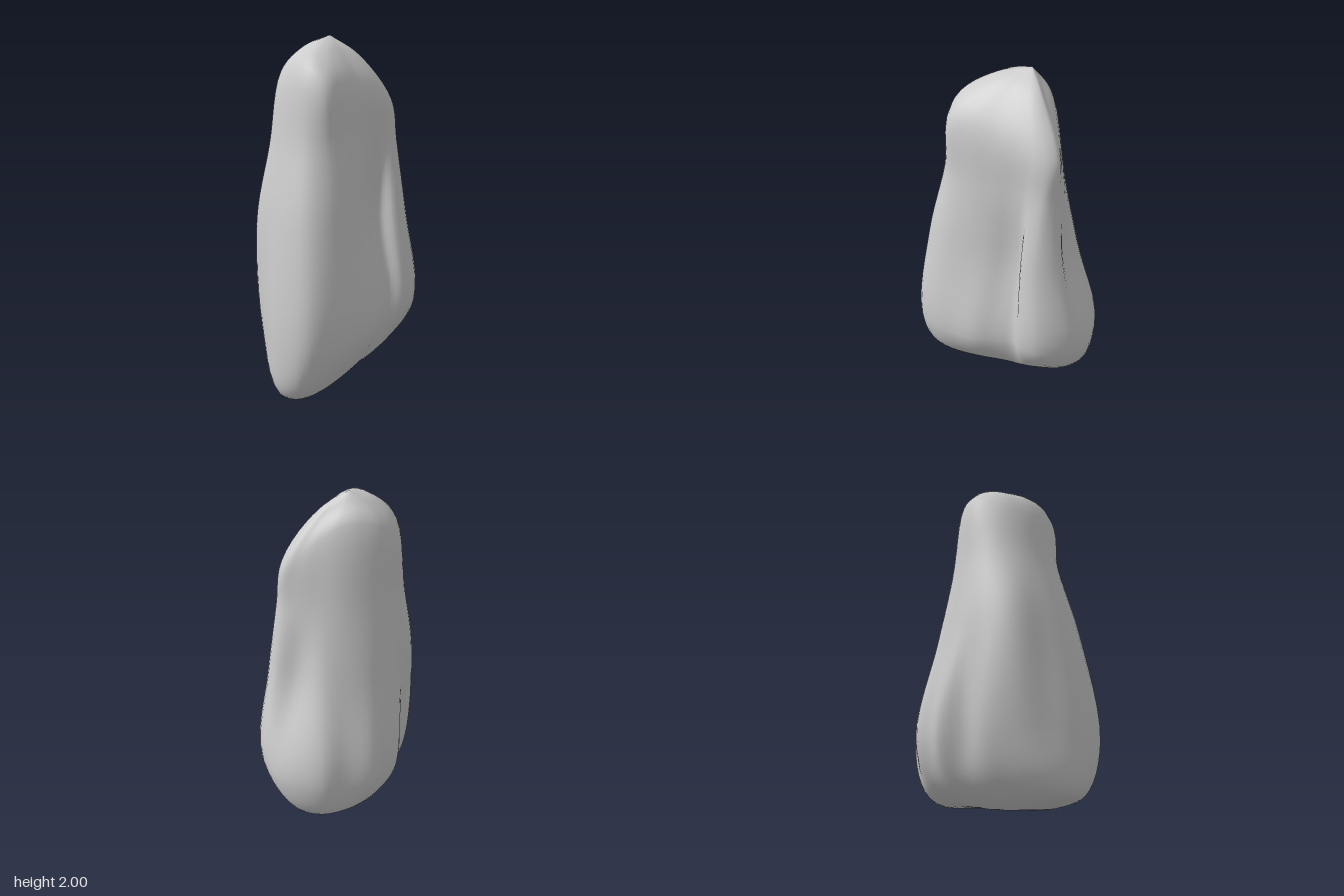
import * as THREE from 'three';
import { mergeVertices } from 'three/addons/utils/BufferGeometryUtils.js';

const V = (x, y, z) => new THREE.Vector3(x, y, z);

// Outlines as [x, z], running left edge -> front -> right edge -> back
const FOOT = [[-.47, .02], [-.47, .17], [-.44, .33], [-.31, .465], [-.14, .445], [.01, .365], [.12, .285],
  [.2, .17], [.265, .095], [.35, .085], [.445, .01], [.485, -.19], [.435, -.32], [.25, -.455], [.1, -.455],
  [-.06, -.465], [-.15, -.4], [-.25, -.365], [-.3, -.23], [-.41, -.14]];
const WAIST = [[-.486, 0], [-.455, .14], [-.4, .275], [-.28, .385], [-.13, .38], [.01, .28], [.1, .18],
  [.165, .075], [.225, .03], [.3, .065], [.385, .01], [.405, -.13], [.295, -.205], [.21, -.33], [.08, -.365],
  [-.06, -.37], [-.16, -.34], [-.26, -.295], [-.34, -.22], [-.43, -.13]];
const SHOULDER = [[-.33, -.04], [-.32, .04], [-.28, .13], [-.22, .22], [-.14, .28], [-.03, .21], [.08, .12],
  [.17, .055], [.24, .01], [.29, -.03], [.32, -.08], [.32, -.13], [.24, -.17], [.14, -.2], [.06, -.225],
  [-.03, -.245], [-.13, -.25], [-.2, -.235], [-.27, -.19], [-.31, -.12]];
const SHOULDER_Y = [1.8, 1.8, 1.82, 1.81, 1.74, 1.74, 1.72, 1.7, 1.67, 1.65,
  1.64, 1.64, 1.7, 1.79, 1.84, 1.86, 1.84, 1.81, 1.8, 1.8];

// Evens out grooves and corners by blending each point with its neighbours
function soften(ring) {
  const n = ring.length;
  return ring.map((p, i) => p.clone().multiplyScalar(2).add(ring[(i + 1) % n]).add(ring[(i + n - 1) % n])
    .multiplyScalar(0.25));
}

// Lower rim: narrow across the short diagonal, bevelled up towards the front and back
function rimPoint([x, z]) {
  const across = (x + z) * 0.72 - 0.04, along = (x - z) * (x > z ? 0.85 : 0.95);
  const lift = across > 0 ? 0.4 * across : -0.15 * across;
  return V((across + along) / 2, 0.08 + 0.08 * along + lift, (across - along) / 2);
}

// Key rings from the underside to the peak
function keyRings() {
  const rim = soften(FOOT.map(rimPoint));
  const under = rim.map(p => {
    const x = -0.15 + (p.x + 0.15) * 0.5;
    return V(x, 0.065 + 0.22 * x, 0.08 + (p.z - 0.08) * 0.5);
  });
  const foot = FOOT.map(([x, z]) => V(x, 0.42 + 0.08 * x - 0.1 * Math.max(z, 0), z));
  const waist = WAIST.map(([x, z]) => V(x, 0.98, z));
  const upper = soften(WAIST.map(([x, z], i) => {
    const [sx, sz] = SHOULDER[i];
    return V(x + (sx - x) * 0.42, 1.4, z + (sz - z) * 0.5);
  }));
  const shoulder = SHOULDER.map(([x, z], i) => V(x, SHOULDER_Y[i], z));
  const crown = shoulder.map(p => V((p.x - 0.06) / 2, p.y + (1.985 - p.y) * 0.73, (p.z - 0.12) / 2));
  return [FOOT.map(() => V(-0.23, 0.01, 0.17)), under, rim, foot, waist, upper, shoulder, crown,
    FOOT.map(() => V(-0.03, 2, -0.14))];
}

// Smooth skin: closed curves around the rings, then curves up each column
function skin(rings, around, up) {
  const loops = rings.map((ring, k) => {
    const pole = k === 0 || k === rings.length - 1;
    const curve = new THREE.CatmullRomCurve3(ring, true);
    return Array.from({ length: around }, (_, i) => (pole ? ring[0] : curve.getPoint(i / around)));
  });
  const pos = [], index = [];
  for (let i = 0; i < around; i++) {
    const column = new THREE.CatmullRomCurve3(loops.map(l => l[i]));
    for (let j = 0; j <= up; j++) pos.push(...column.getPoint(j / up).toArray());
    for (let j = 0; j < up; j++) {
      const a = i * (up + 1) + j, b = ((i + 1) % around) * (up + 1) + j;
      if (j > 0) index.push(a, b, b + 1);
      if (j < up - 1) index.push(a, b + 1, a + 1);
    }
  }
  const g = new THREE.BufferGeometry();
  g.setAttribute('position', new THREE.Float32BufferAttribute(pos, 3));
  g.setIndex(index);
  const merged = mergeVertices(g, 1e-5);
  merged.computeVertexNormals();
  return merged;
}

export function createModel() {
  const group = new THREE.Group();
  group.name = 'standingStone';
  const material = new THREE.MeshStandardMaterial({ color: 0xcccccc });
  const rock = new THREE.Mesh(skin(keyRings(), 80, 48), material);
  rock.name = 'rock';
  group.add(rock);
  return group;
}
